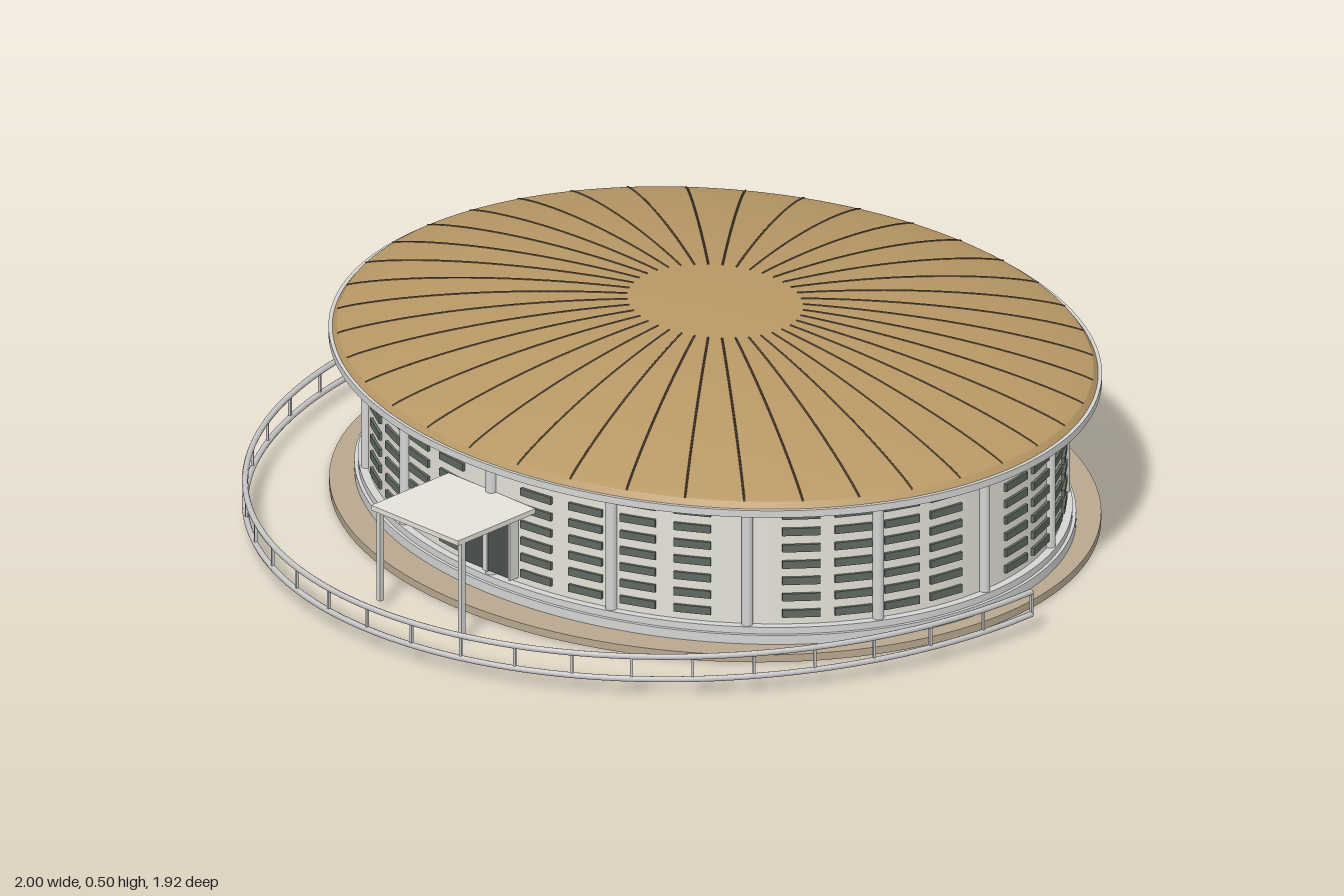
import * as THREE from 'three';
import { mergeGeometries } from 'three/addons/utils/BufferGeometryUtils.js';

const mat = (name, color, side = THREE.FrontSide) => {
  const m = new THREE.MeshStandardMaterial({ color, side });
  m.name = name;
  return m;
};

export function createModel() {
  const tan = mat('roofTan', 0xb89866, THREE.DoubleSide);
  const ribDark = mat('ribBrown', 0x5a4c3a);
  const wallGrey = mat('wallGrey', 0xe4e2d8, THREE.DoubleSide);
  const trim = mat('trimGrey', 0xd4d5d3, THREE.DoubleSide);
  const slotDark = mat('slotGreyGreen', 0x606860);
  const doorDark = mat('doorGlass', 0x4a504e);
  const paving = mat('pavingTan', 0xb8a890);
  const railGrey = mat('railGrey', 0xc6c7c6);

  const model = new THREE.Group();
  const hall = new THREE.Group();
  hall.name = 'hall';
  hall.position.z = -0.15;
  model.add(hall);

  const add = (name, geometry, material, parent = hall) => {
    const mesh = new THREE.Mesh(geometry, material);
    mesh.name = name;
    parent.add(mesh);
    return mesh;
  };
  // Point on an ellipse; angle 0 faces the front
  const onEllipse = (rx, rz, a, y) => new THREE.Vector3(rx * Math.sin(a), y, rz * Math.cos(a));
  // Box set on an ellipse and turned to face outward
  const boxOnEllipse = (w, h, d, rx, rz, a, y) => {
    const p = onEllipse(rx, rz, a, y);
    return new THREE.BoxGeometry(w, h, d)
      .rotateY(Math.atan2(Math.sin(a) / rx, Math.cos(a) / rz))
      .translate(p.x, p.y, p.z);
  };
  // Oval ring with a rectangular section
  const ovalBand = (rx, rz, y0, y1, depth) => {
    const oval = (shape, k) => shape.absellipse(0, 0, rx - k, rz - k, 0, Math.PI * 2, false);
    const shape = oval(new THREE.Shape(), 0);
    shape.holes.push(oval(new THREE.Path(), depth));
    return new THREE.ExtrudeGeometry(shape, { depth: y1 - y0, bevelEnabled: false, curveSegments: 80 })
      .rotateX(-Math.PI / 2).translate(0, y0, 0);
  };

  // Paved base
  add('pavedBase', new THREE.CylinderGeometry(1, 1, 0.018, 120).scale(0.907, 1, 0.81).translate(0, 0.009, 0), paving);

  // Plinth steps, wall and top beam
  add('plinth', ovalBand(0.87, 0.732, 0.018, 0.04, 0.06), trim);
  add('plinthStep', ovalBand(0.862, 0.724, 0.04, 0.056, 0.05), trim);
  add('wall', new THREE.CylinderGeometry(1, 1, 0.31, 120, 1, true).scale(0.843, 1, 0.705).translate(0, 0.2, 0), wallGrey);
  add('topBeam', ovalBand(0.858, 0.72, 0.343, 0.36, 0.04), trim);

  // Sixteen round columns
  const columns = [];
  for (let i = 0; i < 16; i++) {
    const p = onEllipse(0.846, 0.708, i * Math.PI / 8, 0.2);
    columns.push(new THREE.CylinderGeometry(0.013, 0.013, 0.295, 12).translate(p.x, p.y, p.z));
  }
  add('columns', mergeGeometries(columns), trim);

  // Rows of ventilation slots, left out behind the columns
  const slots = [];
  for (let i = 0; i < 40; i++) {
    if (i % 5 === 0) continue;
    for (let row = 0; row < 7; row++) {
      slots.push(boxOnEllipse(0.085, 0.018, 0.012, 0.843, 0.705, i * Math.PI / 20, 0.083 + row * 0.04));
    }
  }
  add('wallSlots', mergeGeometries(slots), slotDark);

  // Shallow domed roof with a short steep rim
  const RX = 0.917, RZ = 0.79, SHOULDER = 0.985;
  const roofY = t => 0.385 + 0.11 * Math.pow(Math.max(0, 1 - (t / SHOULDER) ** 2), 0.87);
  const profile = [new THREE.Vector2(1, 0.368)];
  for (let i = 0; i <= 28; i++) {
    const t = SHOULDER * Math.sin((1 - i / 28) * Math.PI / 2);
    profile.push(new THREE.Vector2(t, roofY(t)));
  }
  add('roof', new THREE.LatheGeometry(profile, 160).scale(RX, 1, RZ), tan);
  add('roofEdge', ovalBand(0.923, 0.795, 0.355, 0.372, 0.014), trim);

  // Roof ribs, stopping short of the crown
  const ribs = [];
  for (let i = 0; i < 40; i++) {
    const points = [];
    for (let k = 0; k <= 16; k++) {
      const t = SHOULDER * Math.sin(THREE.MathUtils.lerp(0.235, Math.PI / 2, k / 16));
      points.push(onEllipse(RX * t, RZ * t, i * Math.PI / 20, roofY(t)));
    }
    ribs.push(new THREE.TubeGeometry(new THREE.CatmullRomCurve3(points), 32, 0.0024, 4));
  }
  add('roofRibs', mergeGeometries(ribs), ribDark);

  // Entrance doors, frame and canopy
  const entrance = new THREE.Group();
  entrance.name = 'entrance';
  model.add(entrance);
  const box = (name, w, h, d, x, y, z, m) =>
    add(name, new THREE.BoxGeometry(w, h, d).translate(x, y, z), m, entrance);
  for (const s of [-1, 1]) {
    box('doorLeaf', 0.066, 0.175, 0.02, s * 0.04, 0.157, 0.565, doorDark);
    box('doorJamb', 0.006, 0.18, 0.026, s * 0.076, 0.157, 0.565, trim);
    box('canopyPost', 0.012, 0.225, 0.012, s * 0.128, 0.132, 0.78, trim);
  }
  box('doorMullion', 0.014, 0.18, 0.026, 0, 0.157, 0.565, trim);
  box('doorHead', 0.158, 0.006, 0.026, 0, 0.248, 0.565, trim);
  box('canopy', 0.272, 0.012, 0.245, 0, 0.25, 0.678, wallGrey);

  // Curved railing around the forecourt
  const railing = new THREE.Group();
  railing.name = 'railing';
  hall.add(railing);
  const railX = 0.993, railZ = 1.1;
  for (const [name, y] of [['topRail', 0.1], ['bottomRail', 0.045]]) {
    const points = [];
    for (let i = 0; i <= 40; i++) points.push(onEllipse(railX, railZ, (i / 40 - 0.5) * Math.PI, y));
    add(name, new THREE.TubeGeometry(new THREE.CatmullRomCurve3(points), 120, 0.007, 8), railGrey, railing);
  }
  const posts = [];
  for (let i = 0; i <= 24; i++) {
    posts.push(boxOnEllipse(0.006, 0.062, 0.006, railX, railZ, (i / 24 - 0.5) * Math.PI, 0.072));
  }
  add('railPosts', mergeGeometries(posts), railGrey, railing);

  return model;
}
